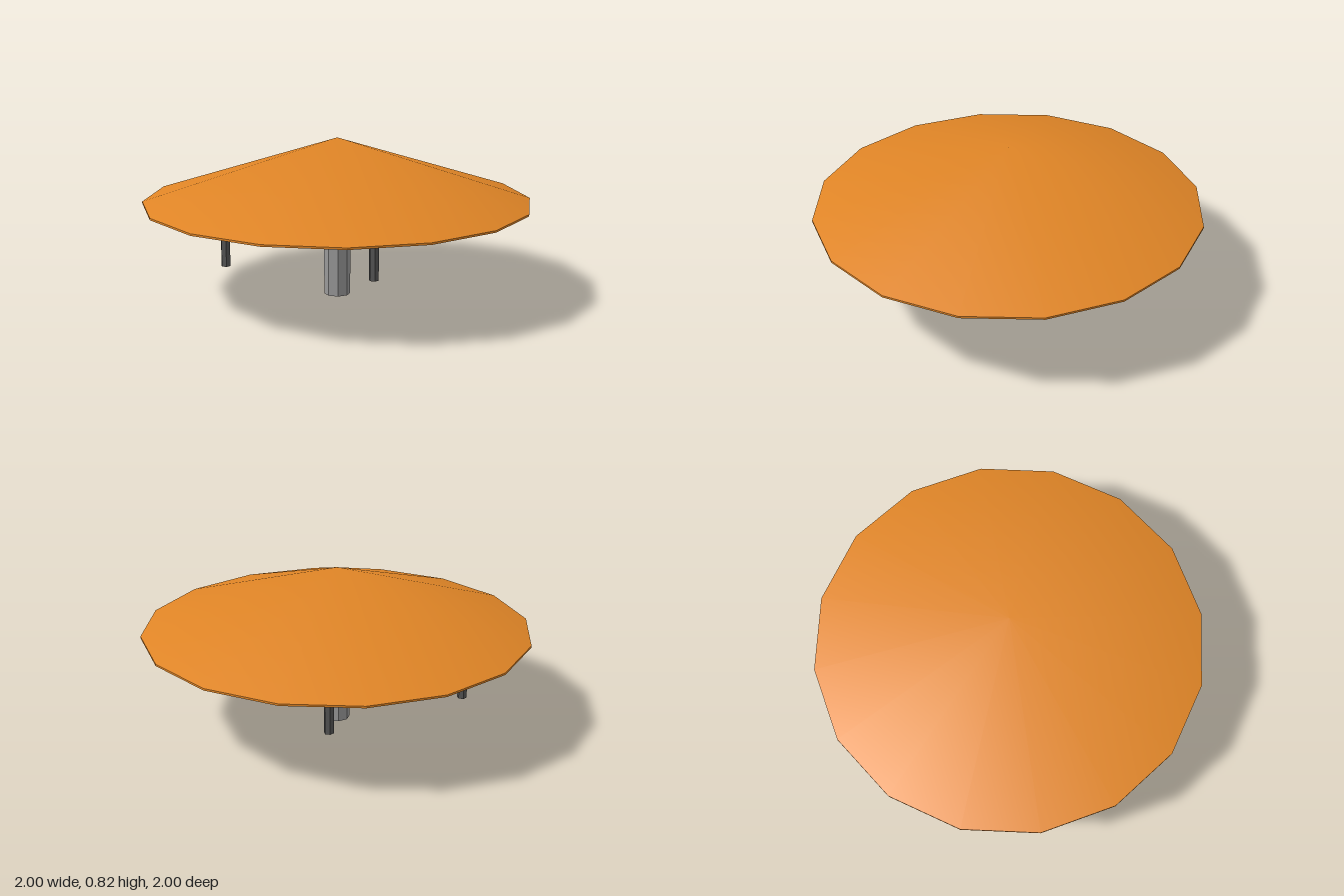
import * as THREE from 'three';
import { mergeVertices } from 'three/addons/utils/BufferGeometryUtils.js';

const SIDES = 16;
const RIM_BOTTOM = 0.49, RIM_TOP = 0.5, APEX = 0.825, INNER_APEX = 0.67;

// Open cone with one shared apex, so it shades smoothly
function smoothCone(height) {
  const cone = new THREE.ConeGeometry(1, height, SIDES, 1, true);
  cone.deleteAttribute('normal');
  cone.deleteAttribute('uv');
  const geometry = mergeVertices(cone);
  geometry.translate(0, height / 2, 0);
  geometry.computeVertexNormals();
  return geometry;
}

// Upright faceted prism from y0 to y1
function prism(name, radius, sides, y0, y1, material) {
  const geometry = new THREE.CylinderGeometry(radius, radius, y1 - y0, sides);
  geometry.rotateY(Math.PI / sides);
  geometry.translate(0, (y0 + y1) / 2, 0);
  const mesh = new THREE.Mesh(geometry, material);
  mesh.name = name;
  return mesh;
}

export function createModel() {
  const group = new THREE.Group();
  group.name = 'canopyWithPosts';

  const orange = new THREE.MeshStandardMaterial({ color: 0xe08526 });
  orange.name = 'orange';
  const grey = new THREE.MeshStandardMaterial({ color: 0x999999, flatShading: true });
  grey.name = 'grey';
  const darkGrey = new THREE.MeshStandardMaterial({ color: 0x555555, flatShading: true });
  darkGrey.name = 'darkGrey';

  // Canopy: outer cone, thin rim and shallower hollow underside
  const canopy = new THREE.Group();
  canopy.name = 'canopy';
  const outer = new THREE.Mesh(smoothCone(APEX - RIM_TOP), orange);
  outer.name = 'canopyTop';
  outer.position.y = RIM_TOP;

  const rimHeight = RIM_TOP - RIM_BOTTOM;
  const rim = new THREE.Mesh(
    new THREE.CylinderGeometry(1, 1, rimHeight, SIDES, 1, true).toNonIndexed(), orange);
  rim.geometry.computeVertexNormals();
  rim.name = 'canopyRim';
  rim.position.y = RIM_BOTTOM + rimHeight / 2;

  const innerGeometry = smoothCone(INNER_APEX - RIM_BOTTOM);
  innerGeometry.index.array.reverse(); // face downwards
  innerGeometry.computeVertexNormals();
  const inner = new THREE.Mesh(innerGeometry, orange);
  inner.name = 'canopyUnderside';
  inner.position.y = RIM_BOTTOM;
  canopy.add(outer, rim, inner);
  group.add(canopy);

  // Central pole
  group.add(prism('centrePole', 0.068, 8, 0, 0.7, grey));

  // Hanging posts
  const spots = [[0.38, 0.54], [-0.385, 0.54], [-0.155, -0.72], [-0.685, -0.15]];
  for (const [x, z] of spots) {
    const post = prism('hangingPost', 0.024, 6, 0.25, 0.56, darkGrey);
    post.position.set(x, 0, z);
    group.add(post);
  }
  return group;
}
